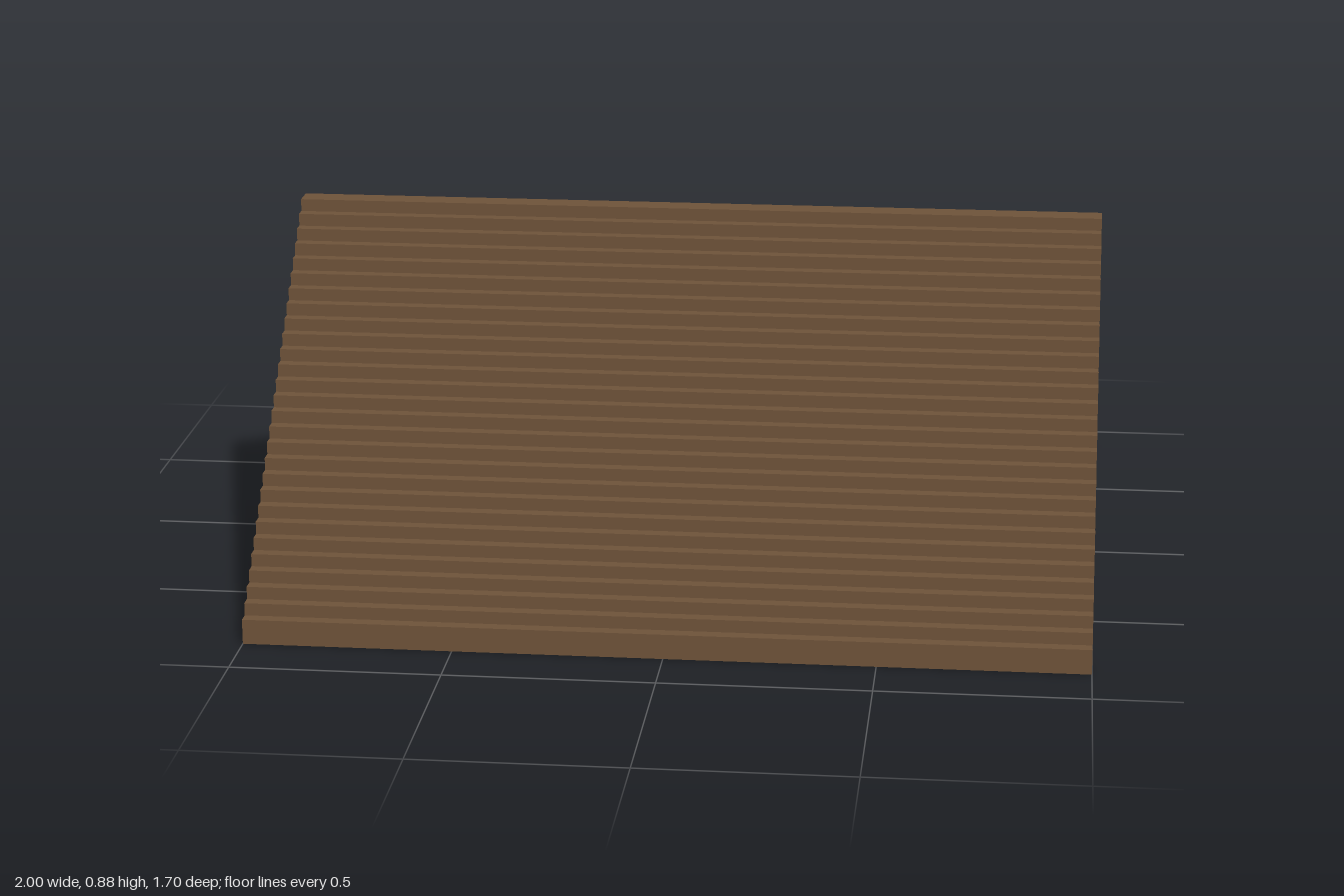
import * as THREE from 'three';

const U = 2 / 66;       // one step of the stepped roof
const STEPS = 28;       // columns on each slope
const RIDGE = 29;       // ridge height in steps
const PLATE = 24;       // column that carries the wall plate
const GABLE_INSET = 3;  // gable distance from the roof end
const GABLE_DEPTH = 4;

// Mirrors a half outline (running from the ridge outwards) and extrudes it along x.
function extrudeAlongX(points, length, material, name) {
  const shape = new THREE.Shape(points.map(([z, y]) => new THREE.Vector2(z * U, y * U)));
  const geometry = new THREE.ExtrudeGeometry(shape, { depth: length * U, bevelEnabled: false });
  geometry.translate(0, 0, -length * U / 2);
  geometry.rotateY(Math.PI / 2);
  const mesh = new THREE.Mesh(geometry, material);
  mesh.name = name;
  return mesh;
}

// Stair line from the centre outwards; heightOf gives the level of each column.
function stairs(count, heightOf) {
  const line = [];
  for (let k = 0; k < count; k++) line.push([k, heightOf(k)], [k + 1, heightOf(k)]);
  return line.slice(1);
}

const mirror = (line) => line.map(([z, y]) => [-z, y]).reverse();

export function createModel() {
  const group = new THREE.Group();
  group.name = 'gableRoof';
  const wood = new THREE.MeshStandardMaterial({ color: 0x70543a });
  wood.name = 'brownWood';
  const plaster = new THREE.MeshStandardMaterial({ color: 0xb3a890 });
  plaster.name = 'beigePlaster';

  // Stepped roof shell, two steps thick, with a wall plate hanging inside each eave
  const outer = stairs(STEPS, (k) => RIDGE - k);
  const inner = stairs(STEPS, (k) => (k === PLATE ? 1 : RIDGE - 2 - k));
  const section = [...mirror(outer), ...outer, ...[...inner].reverse(), ...mirror(inner).reverse()];
  group.add(extrudeAlongX(section, 66, wood, 'steppedRoof'));

  // Gable walls filling the space under the steps near both ends
  const edge = stairs(PLATE, (k) => RIDGE - 2 - k);
  const wall = [...mirror(edge), ...edge, [PLATE, 1], [-PLATE, 1]];
  for (const side of [1, -1]) {
    const gable = extrudeAlongX(wall, GABLE_DEPTH, plaster, side > 0 ? 'leftGable' : 'rightGable');
    gable.position.x = side * (33 - GABLE_INSET - GABLE_DEPTH / 2) * U;
    group.add(gable);
  }
  return group;
}
